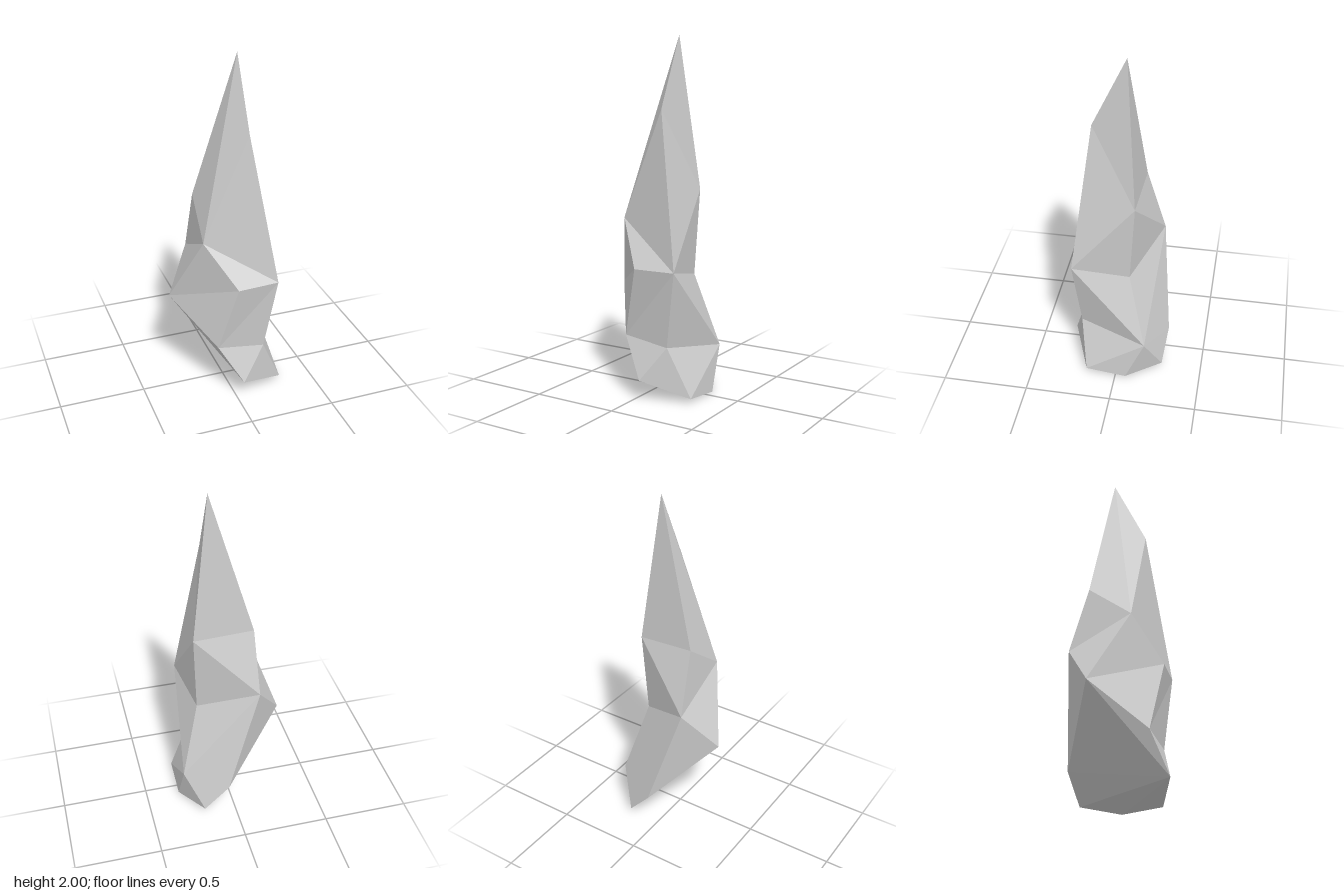
import * as THREE from 'three';

// Joins two closed rings: 'l' steps along the lower ring, 'u' along the upper one
function stitch(faces, upper, lower, steps) {
  let i = 0, j = 0;
  const at = (ring, k) => ring[k % ring.length];
  for (const step of steps) {
    const a = at(upper, i), b = at(lower, j);
    const c = step === 'l' ? at(lower, ++j) : at(upper, ++i);
    if (a !== b && b !== c && a !== c) faces.push(a, b, c);
  }
}

export function createModel() {
  // Irregular cross-sections from the tip down, each counter-clockwise seen from above
  const tip = [[0.095, 2, -0.035]];
  const shoulder = [[0.098, 1.6, 0.155], [0.198, 1.15, -0.095], [-0.14, 1.18, -0.115], [-0.16, 0.99, 0.135]];
  const waist = [[0.242, 0.735, 0.26], [0.18, 0.67, -0.065], [-0.152, 0.81, -0.225], [-0.305, 0.575, -0.07], [0, 0.735, 0.275]];
  const heel = [0.035, 0.113, 0.285]; // corner shared by the two lowest rings
  const belly = [[0.175, 0.305, 0.22], [0.29, 0.25, -0.17], [0.043, 0.19, -0.287], heel, [-0.1, 0.34, 0.213]];
  const base = [[0.302, 0.025, 0.175], [0.305, 0, -0.06], [0.185, 0.028, -0.265], heel];

  const faces = [];
  stitch(faces, tip, shoulder, 'llll');
  stitch(faces, shoulder, waist, 'ulluulllu');
  stitch(faces, waist, belly, 'luululluul');
  stitch(faces, belly, base, 'ulluuluul');

  // Underside
  const [p, q, k] = base;
  faces.push(heel, k, q, heel, q, p);

  const geometry = new THREE.BufferGeometry();
  geometry.setAttribute('position', new THREE.Float32BufferAttribute(faces.flat(), 3));
  geometry.computeVertexNormals();

  const shard = new THREE.Mesh(geometry, new THREE.MeshStandardMaterial({ color: 0xcccccc, flatShading: true }));
  shard.name = 'rockShard';
  const group = new THREE.Group();
  group.name = 'rockSpire';
  group.add(shard);
  return group;
}
